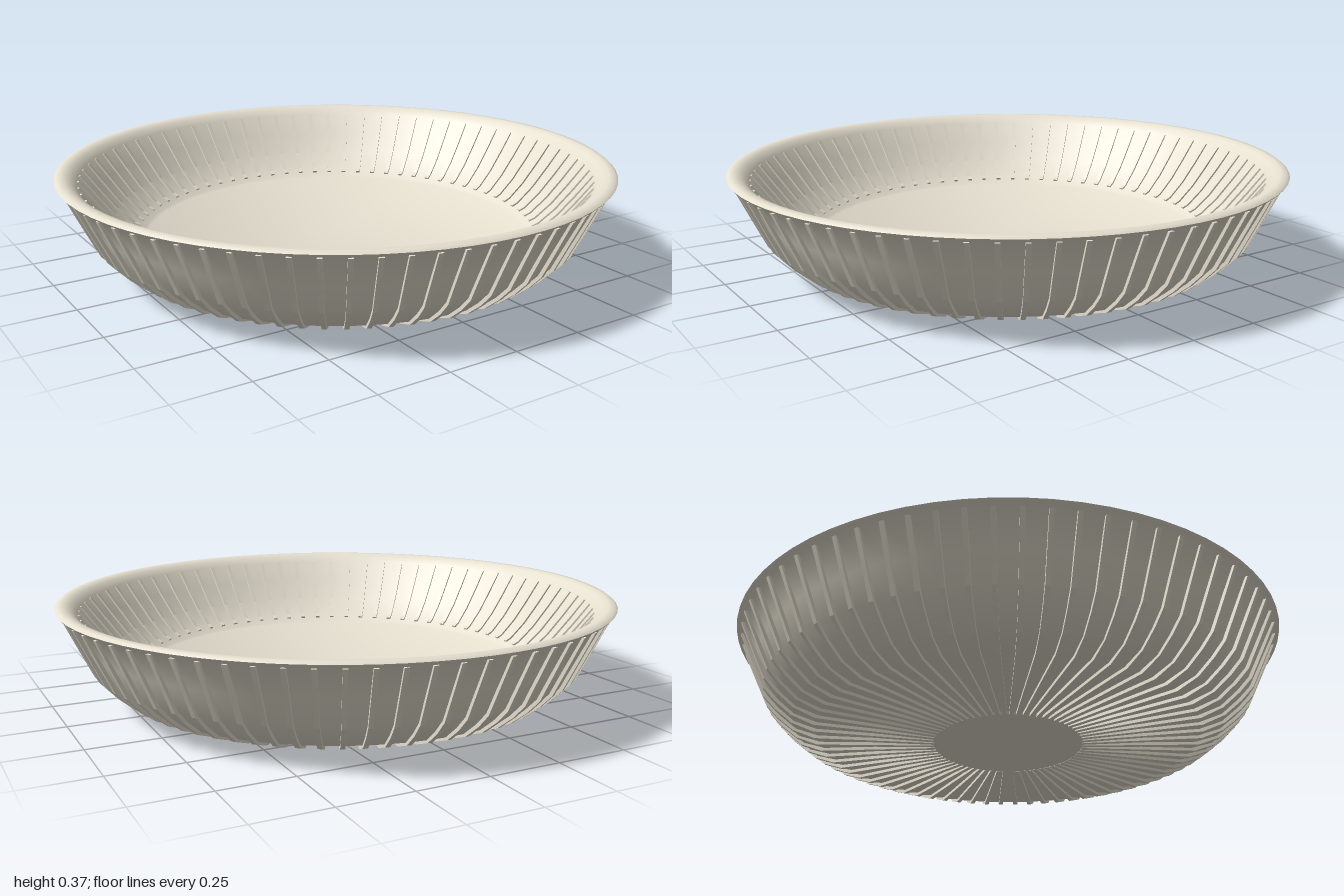
import * as THREE from 'three';
import { mergeGeometries, toCreasedNormals } from 'three/addons/utils/BufferGeometryUtils.js';

const RIBS = 72;
const RIB_WIDTH = 0.016;
const toPoints = (list) => list.map(([r, y]) => new THREE.Vector2(r, y));

// Thin plates with a given radius/height outline, repeated around the axis
function ribRing(name, outline, material) {
  const plate = new THREE.ExtrudeGeometry(new THREE.Shape(toPoints(outline)), {
    depth: RIB_WIDTH, bevelEnabled: false,
  });
  plate.translate(0, 0, -RIB_WIDTH / 2);
  const copies = [];
  for (let i = 0; i < RIBS; i++) copies.push(plate.clone().rotateY((i / RIBS) * Math.PI * 2));
  const mesh = new THREE.Mesh(mergeGeometries(copies), material);
  mesh.name = name;
  return mesh;
}

export function createModel() {
  const group = new THREE.Group();
  group.name = 'ribbedDish';
  const material = new THREE.MeshStandardMaterial({ color: 0xe6e0d0 });

  // Dish shell: underside, outer wall, rounded rim, thick inner wall, raised floor
  const profile = toPoints([
    [0, 0.002], [0.27, 0.002], [0.275, 0.012], [0.69, 0.024], [0.77, 0.049], [0.83, 0.098],
    [0.875, 0.145], [0.922, 0.24], [0.975, 0.345], [0.993, 0.354], [1.0, 0.362], [0.99, 0.37],
    [0.97, 0.37], [0.948, 0.362], [0.925, 0.34], [0.87, 0.265], [0.81, 0.19],
    [0.75, 0.132], [0.71, 0.11], [0.70, 0.104], [0, 0.1],
  ]);
  const shell = new THREE.Mesh(toCreasedNormals(new THREE.LatheGeometry(profile, RIBS), 0.7), material);
  shell.name = 'dishShell';
  group.add(shell);

  // Outer ribs run from the foot disc, round the corner and up to the rim
  group.add(ribRing('outerRibs', [
    [0.27, 0.001], [0.70, 0.013], [0.78, 0.043], [0.842, 0.093], [0.886, 0.14],
    [0.932, 0.235], [0.984, 0.345], [0.965, 0.345], [0.912, 0.24], [0.865, 0.15],
    [0.82, 0.105], [0.76, 0.057], [0.69, 0.034], [0.27, 0.017],
  ], material));

  // Inner ribs on the sloping wall
  group.add(ribRing('innerRibs', [
    [0.73, 0.114], [0.815, 0.182], [0.875, 0.257], [0.93, 0.336],
    [0.918, 0.34], [0.863, 0.267], [0.803, 0.192], [0.745, 0.136], [0.725, 0.126],
  ], material));

  return group;
}
